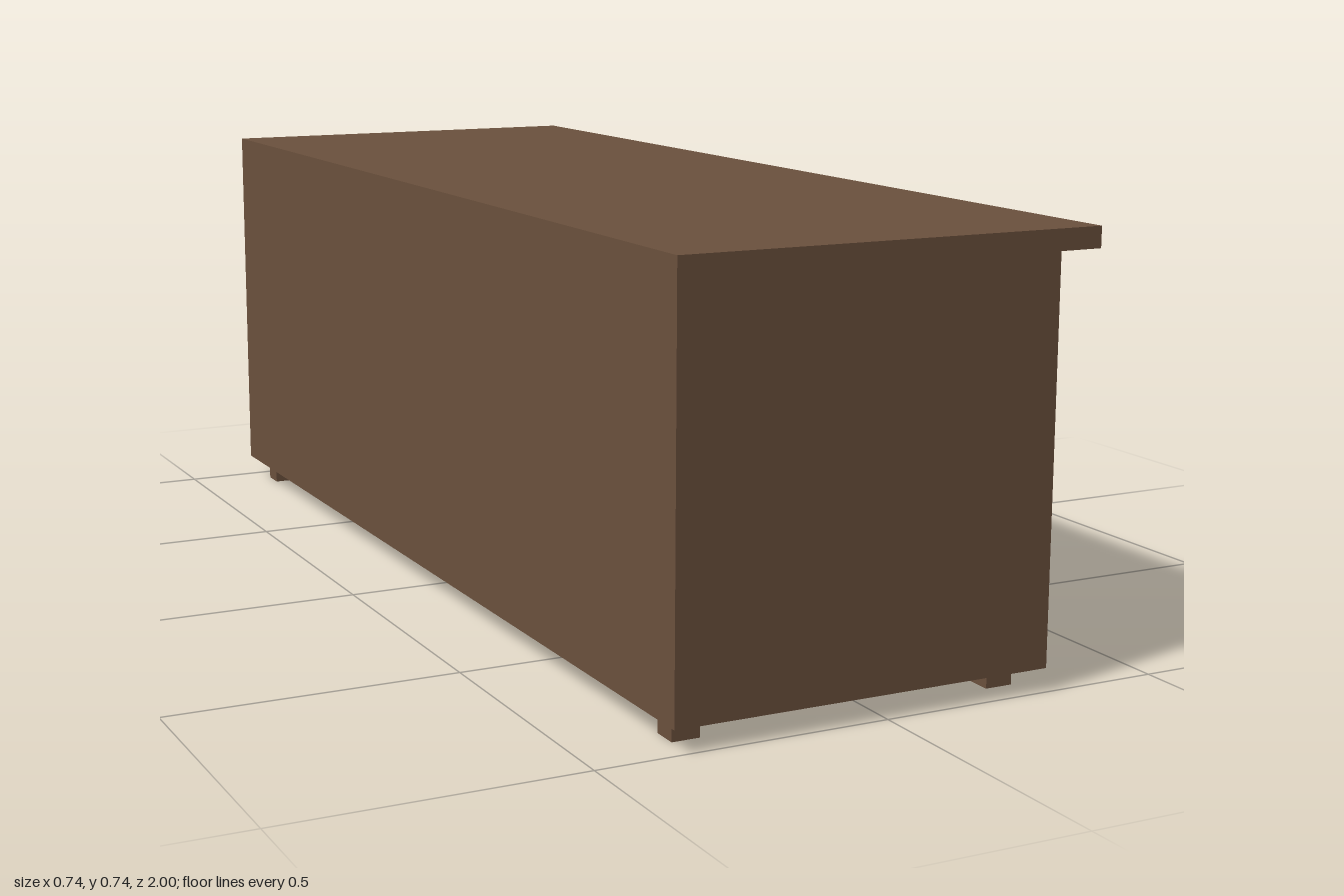
import * as THREE from 'three';

const wood = new THREE.MeshStandardMaterial({ color: 0x6b513d });
wood.name = 'brown wood';
const black = new THREE.MeshStandardMaterial({ color: 0x0d0d0d });
black.name = 'black metal';

function add(parent, name, geometry, material, x = 0, y = 0, z = 0) {
  const mesh = new THREE.Mesh(geometry, material);
  mesh.name = name;
  mesh.position.set(x, y, z);
  parent.add(mesh);
  return mesh;
}

// Rectangle [x, half width, bottom, top] in the door plane, anticlockwise seen from +x
const rect = ([x, w, y0, y1]) => [[x, y0, w], [x, y0, -w], [x, y1, -w], [x, y1, w]];

// Joins successive rectangles with flat sides, optionally closing the last one
function loft(sections, cap) {
  const loops = sections.map(rect);
  const pos = [];
  const quad = (a, b, c, d) => pos.push(...a, ...b, ...c, ...a, ...c, ...d);
  for (let s = 0; s < loops.length - 1; s++) {
    for (let i = 0; i < 4; i++) {
      const j = (i + 1) % 4;
      quad(loops[s][i], loops[s][j], loops[s + 1][j], loops[s + 1][i]);
    }
  }
  if (cap) quad(...loops[loops.length - 1]);
  const geometry = new THREE.BufferGeometry();
  geometry.setAttribute('position', new THREE.Float32BufferAttribute(pos, 3));
  geometry.computeVertexNormals();
  return geometry;
}

export function createModel() {
  const model = new THREE.Group();
  model.name = 'sideboard';

  // Carcass, open on the door side (+x)
  const shell = new THREE.BoxGeometry(0.665, 0.665, 2);
  shell.setIndex(Array.from(shell.index.array).slice(6));
  shell.clearGroups();
  add(model, 'carcass', shell, wood, -0.0375, 0.3725, 0);

  // Overhanging top
  add(model, 'top', new THREE.BoxGeometry(0.74, 0.035, 2), wood, 0, 0.7225, 0);

  // Feet
  const footGeometry = new THREE.BoxGeometry(0.048, 0.04, 0.045);
  for (const x of [-0.321, 0.245])
    for (const z of [-0.922, 0.922]) add(model, 'foot', footGeometry, wood, x, 0.02, z);

  // Doors: sloped frame sinking inward, raised panel with a fine bevel, round knob
  const frame = loft([[0.295, 0.25, 0.04, 0.705], [0.265, 0.2, 0.075, 0.67]], false);
  const panel = loft([
    [0.265, 0.2, 0.075, 0.67],
    [0.298, 0.2, 0.075, 0.67],
    [0.302, 0.194, 0.085, 0.66],
  ], true);
  const stem = new THREE.CylinderGeometry(0.012, 0.012, 0.03, 12).rotateZ(-Math.PI / 2);
  const ball = new THREE.SphereGeometry(0.0225, 14, 10).rotateZ(-Math.PI / 2);
  const knobZ = [0.58, 0.083, -0.424, -0.917];
  knobZ.forEach((kz, i) => {
    const z = 0.75 - i * 0.5;
    const door = new THREE.Group();
    door.name = 'door';
    add(door, 'doorFrame', frame, wood, 0, 0, z);
    add(door, 'doorPanel', panel, wood, 0, 0, z);
    add(door, 'knobStem', stem, black, 0.314, 0.373, kz);
    add(door, 'knobBall', ball, black, 0.342, 0.373, kz);
    model.add(door);
  });

  return model;
}
